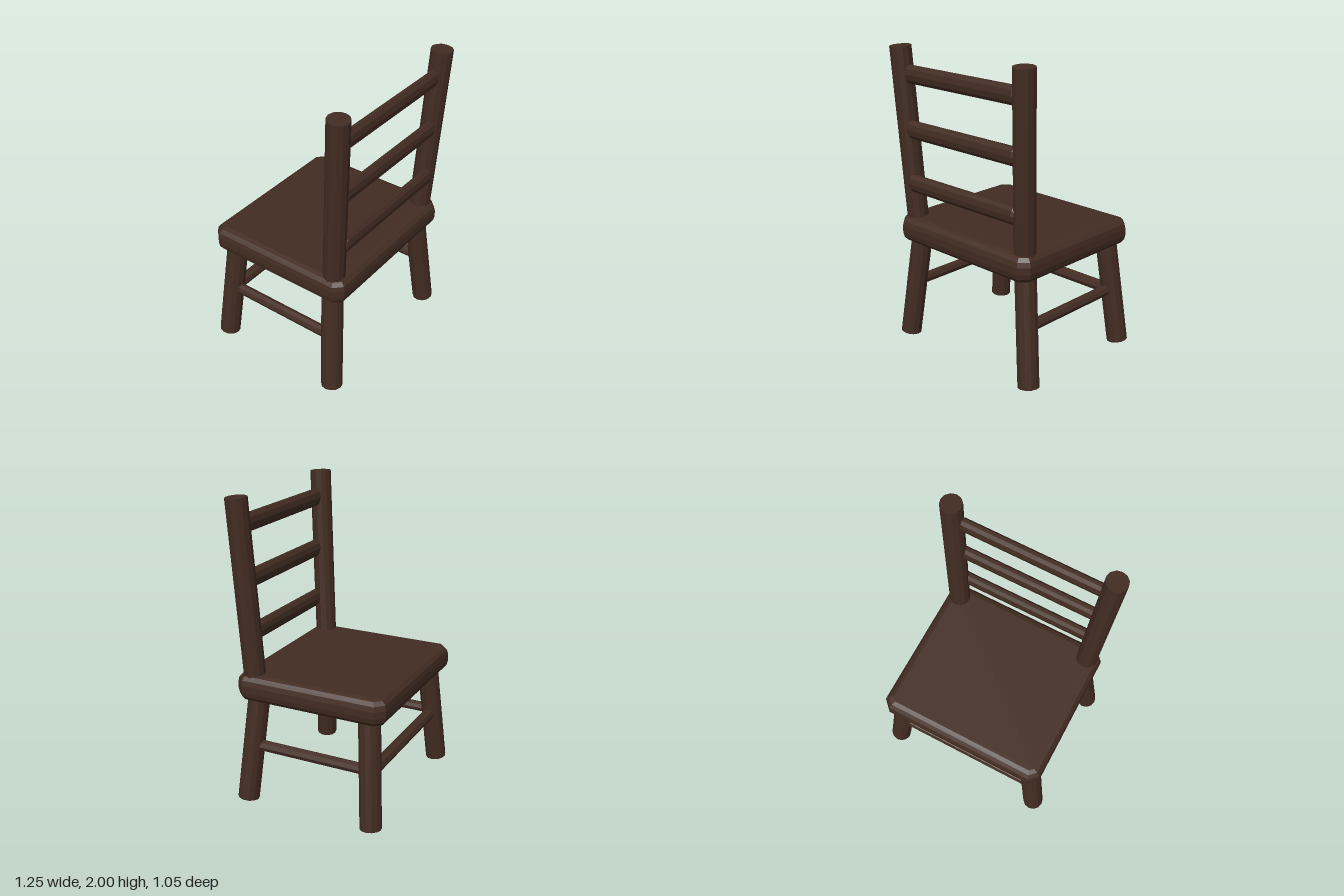
import * as THREE from 'three';

export function createModel() {
  const model = new THREE.Group();
  model.name = 'ladderBackChair';
  const wood = new THREE.MeshStandardMaterial({ color: 0x422c22, flatShading: true });
  wood.name = 'darkWood';
  const up = new THREE.Vector3(0, 1, 0);

  // Round bar between two points
  function bar(name, from, to, radius, sides = 12) {
    const a = new THREE.Vector3(...from), b = new THREE.Vector3(...to);
    const mesh = new THREE.Mesh(new THREE.CylinderGeometry(radius, radius, a.distanceTo(b), sides), wood);
    mesh.name = name;
    mesh.position.copy(a).add(b).multiplyScalar(0.5);
    mesh.quaternion.setFromUnitVectors(up, b.sub(a).normalize());
    model.add(mesh);
  }

  // Seat: slab with clipped corners and rounded rim
  const rim = 0.055, x = 0.577 - rim, back = 0.503 - rim, front = 0.527 - rim, cut = 0.025;
  const outline = new THREE.Shape([
    [-x + cut, -back], [x - cut, -back], [x, -back + cut], [x, front - cut],
    [x - cut, front], [-x + cut, front], [-x, front - cut], [-x, -back + cut],
  ].map(p => new THREE.Vector2(...p)));
  const seatGeometry = new THREE.ExtrudeGeometry(outline, {
    depth: 0.045, bevelThickness: 0.065, bevelSize: rim, bevelSegments: 3,
  });
  seatGeometry.rotateX(-Math.PI / 2);
  seatGeometry.translate(0, 0.765, 0);
  const seat = new THREE.Mesh(seatGeometry, wood);
  seat.name = 'seat';
  model.add(seat);

  for (const s of [-1, 1]) {
    const side = s > 0 ? 'left' : 'right';
    // Splayed legs, the backrest being on the +z side
    bar(side + 'BackrestLeg', [s * 0.555, 0.011, 0.435], [s * 0.47, 0.74, 0.376], 0.07);
    bar(side + 'SeatEdgeLeg', [s * 0.555, 0.011, -0.452], [s * 0.47, 0.74, -0.397], 0.07);
    // Leaning backrest posts
    bar(side + 'BackPost', [s * 0.484, 0.84, 0.397], [s * 0.53, 1.996, 0.457], 0.07);
    // Side stretchers
    bar(side + 'Stretcher', [s * 0.512, 0.387, 0.37], [s * 0.512, 0.387, -0.39], 0.036, 8);
  }
  bar('crossStretcher', [-0.48, 0.37, -0.425], [0.48, 0.37, -0.425], 0.039, 8);

  // Oval backrest rails with eased ends
  const railProfile = [[0, -0.47], [0.048, -0.47], [0.06, -0.455], [0.06, 0.455], [0.048, 0.47], [0, 0.47]]
    .map(p => new THREE.Vector2(...p));
  for (const y of [1.11, 1.468, 1.824]) {
    const geometry = new THREE.LatheGeometry(railProfile, 10);
    geometry.rotateZ(Math.PI / 2);
    geometry.scale(1, 1, 0.6);
    const rail = new THREE.Mesh(geometry, wood);
    rail.name = 'backRail';
    rail.position.set(0, y, 0.452);
    model.add(rail);
  }
  return model;
}
